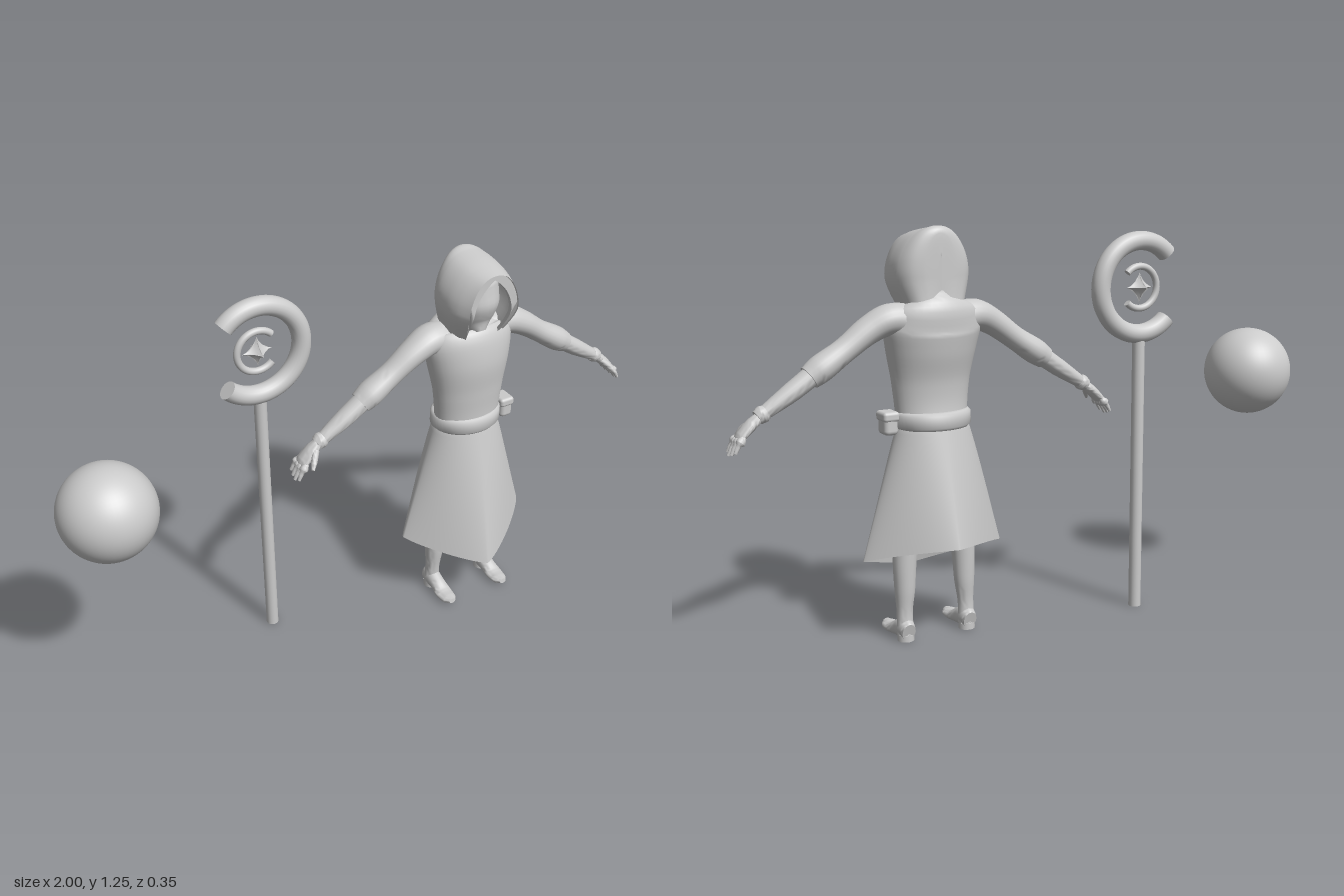
import * as THREE from 'three';
import { toCreasedNormals } from 'three/addons/utils/BufferGeometryUtils.js';
import { RoundedBoxGeometry } from 'three/addons/geometries/RoundedBoxGeometry.js';
import { ParametricGeometry } from 'three/addons/geometries/ParametricGeometry.js';

const solid = new THREE.MeshStandardMaterial({ color: 0xcccccc });
const thin = new THREE.MeshStandardMaterial({ color: 0xcccccc, side: THREE.DoubleSide });
const V = (x, y, z) => new THREE.Vector3(x, y, z);
const { lerp } = THREE.MathUtils;

function part(name, geometry, parent, x = 0, y = 0, z = 0, material = solid) {
  const mesh = new THREE.Mesh(geometry, material);
  mesh.name = name;
  mesh.position.set(x, y, z);
  parent.add(mesh);
  return mesh;
}

// Smooth elliptical loft through rows of [x, y, z, sideRadius, upRadius], with capped ends
function loft(rows, up, side = 1, sides = 20, perSpan = 5) {
  const path = new THREE.CatmullRomCurve3(rows.map(r => V(r[0] * side, r[1], r[2])));
  const radii = new THREE.CatmullRomCurve3(rows.map(r => V(r[3], r[4], 0)));
  const n = (rows.length - 1) * perSpan, pos = [], idx = [];
  for (let i = 0; i <= n; i++) {
    const c = path.getPoint(i / n), t = path.getTangent(i / n), r = radii.getPoint(i / n);
    const u = up.clone().addScaledVector(t, -up.dot(t)).normalize();
    const s = u.clone().cross(t);
    for (let j = 0; j < sides; j++) {
      const a = j / sides * Math.PI * 2;
      const p = c.clone().addScaledVector(s, Math.cos(a) * r.x).addScaledVector(u, Math.sin(a) * r.y);
      pos.push(p.x, p.y, p.z);
    }
  }
  for (let i = 0; i < n; i++) for (let j = 0; j < sides; j++) {
    const k = (j + 1) % sides, a = i * sides, b = a + sides;
    idx.push(a + j, a + k, b + j, a + k, b + k, b + j);
  }
  const first = pos.length / 3, last = n * sides;
  pos.push(...path.getPoint(0).toArray(), ...path.getPoint(1).toArray());
  for (let j = 0; j < sides; j++) {
    const k = (j + 1) % sides;
    idx.push(first, k, j, first + 1, last + j, last + k);
  }
  const g = new THREE.BufferGeometry();
  g.setAttribute('position', new THREE.Float32BufferAttribute(pos, 3));
  g.setIndex(idx);
  return toCreasedNormals(g, 0.9);
}

const X = V(1, 0, 0), Y = V(0, 1, 0), Z = V(0, 0, 1);

// Open ring in the XY plane, its gap centred on gapAngle
function crescent(name, R, r, gapAngle, parent) {
  const g = new THREE.Group(), start = gapAngle + Math.PI / 4, arc = Math.PI * 1.5;
  g.name = name;
  g.rotation.z = start;
  part(name + 'Ring', new THREE.TorusGeometry(R, r, 20, 56, arc), g);
  for (const a of [0, arc])
    part(name + 'End', new THREE.CircleGeometry(r, 20), g, R * Math.cos(a), R * Math.sin(a), 0, thin)
      .rotation.set(Math.PI / 2, a, 0, 'ZXY');
  g.children.slice(1).forEach((m, i) => m.rotation.set(Math.PI / 2, 0, i ? arc : 0, 'ZXY'));
  parent.add(g);
}

function buildStaff() {
  const staff = new THREE.Group();
  staff.name = 'staff';
  staff.position.set(-0.313, 0, -0.117);
  part('staffPole', new THREE.CylinderGeometry(0.02, 0.02, 0.885, 20), staff, 0, 0.4425);
  const head = new THREE.Group();
  head.name = 'staffHead';
  head.position.y = 1.048;
  staff.add(head);
  crescent('outerCrescent', 0.146, 0.03, Math.PI, head);
  crescent('innerCrescent', 0.066, 0.011, 0, head);
  // six-spiked star: octahedral sphere with its flanks drawn inward
  const star = new THREE.OctahedronGeometry(1, 5), p = star.attributes.position;
  for (let i = 0; i < p.count; i++)
    p.setXYZ(i, p.getX(i) ** 3 * 0.05, p.getY(i) ** 3 * 0.05, p.getZ(i) ** 3 * 0.046);
  part('star', toCreasedNormals(star, 0.6), head);
  return staff;
}

// Half outline of the hood arch: [width fraction, height fraction]
const ARCH = [[0.78, 0], [1, 0.35], [0.98, 0.55], [0.82, 0.75], [0.5, 0.93], [0, 1]];
const archCurve = new THREE.CatmullRomCurve3(
  [...ARCH.map(([x, y]) => V(-x, y, 0)), ...ARCH.slice(0, -1).reverse().map(([x, y]) => V(x, y, 0))]);
const setBack = y => 0.05 * Math.max(0, (1.1 - y) / 0.1) ** 1.3;

function buildHead(body) {
  const head = new THREE.Group();
  head.name = 'head';
  body.add(head);
  part('face', loft([[0, 1.005, 0.045, 0.022, 0.025], [0, 1.04, 0.025, 0.055, 0.055],
    [0, 1.1, 0.01, 0.078, 0.08], [0, 1.17, 0, 0.076, 0.078], [0, 1.21, 0, 0.04, 0.04]], Z), head);
  part('neck', new THREE.CylinderGeometry(0.045, 0.055, 0.12, 20), head, 0, 1.04, -0.015);
  // hood: arch stations from the brim to the closed back, [width, top, bottom] against z
  const st = [[0.12, 0.088, 1.224, 1.01], [0.07, 0.108, 1.234, 1.005], [0.03, 0.115, 1.241, 1.01],
    [-0.03, 0.113, 1.248, 1.02], [-0.062, 0.094, 1.253, 1.03], [-0.078, 0.06, 1.243, 1.035], [-0.083, 0, 1.16, 1.07]];
  const zw = new THREE.CatmullRomCurve3(st.map(s => V(s[0], s[1], 0)));
  const tb = new THREE.CatmullRomCurve3(st.map(s => V(s[2], s[3], 0)));
  part('hood', new ParametricGeometry((u, v, out) => {
    const a = archCurve.getPoint(u), s = zw.getPoint(v), h = tb.getPoint(v);
    const y = lerp(h.y, h.x, a.y);
    out.set(a.x * s.y, y, s.x - setBack(y) * (1 - v));
  }, 40, 30), head, 0, 0, 0, thin);
  // parted hair framing the face, ending in two pointed locks
  const hair = new THREE.Shape();
  archCurve.getPoints(40).forEach((a, i) =>
    hair[i ? 'lineTo' : 'moveTo'](a.x * 0.088, lerp(1.01, 1.222, a.y)));
  hair.lineTo(0.06, 0.998);
  hair.bezierCurveTo(0.075, 1.06, 0.085, 1.15, 0, 1.207);
  hair.bezierCurveTo(-0.085, 1.15, -0.075, 1.06, -0.06, 0.998);
  hair.closePath();
  const g = new THREE.ExtrudeGeometry(hair, { depth: 0.014, bevelEnabled: false, curveSegments: 16 });
  const p = g.attributes.position;
  for (let i = 0; i < p.count; i++) p.setZ(i, p.getZ(i) + 0.1 - setBack(p.getY(i)));
  part('hair', toCreasedNormals(g, 0.7), head, 0, 0, 0, thin);
}

function buildArm(s, body) {
  const arm = new THREE.Group(), z = -0.015;
  arm.name = s > 0 ? 'leftArm' : 'rightArm';
  body.add(arm);
  part('sleeve', loft([[0.08, 0.98, -0.025, 0.055, 0.05], [0.14, 0.985, -0.02, 0.055, 0.047], [0.2, 0.96, z, 0.048, 0.041],
    [0.28, 0.905, z, 0.041, 0.036], [0.35, 0.86, z, 0.046, 0.04], [0.388, 0.835, z, 0.039, 0.035]], Y, s), arm);
  part('forearm', loft([[0.37, 0.847, z, 0.034, 0.03], [0.44, 0.8, z, 0.032, 0.028],
    [0.54, 0.737, z, 0.021, 0.018]], Y, s), arm);
  part('cuff', loft([[0.518, 0.751, z, 0.023, 0.021], [0.528, 0.745, z, 0.027, 0.025],
    [0.543, 0.736, z, 0.024, 0.021]], Y, s), arm);
  part('palm', loft([[0.535, 0.74, z, 0.017, 0.014], [0.565, 0.716, z, 0.028, 0.016],
    [0.595, 0.687, z, 0.031, 0.013], [0.602, 0.68, z, 0.025, 0.009]], Y, s), arm);
  for (let i = 0; i < 4; i++) {
    const f = i - 1.5, len = 1 - 0.12 * Math.abs(f - 0.3);
    part('finger', loft([[0.59, 0.69, z + f * 0.015, 0.008, 0.008], [0.59 + 0.022 * len, 0.69 - 0.026 * len, z + f * 0.018, 0.008, 0.008],
      [0.59 + 0.038 * len, 0.69 - 0.055 * len, z + f * 0.02, 0.005, 0.005]], Y, s, 10, 4), arm);
  }
  part('thumb', loft([[0.555, 0.722, 0.002, 0.011, 0.011], [0.574, 0.702, 0.026, 0.01, 0.01],
    [0.587, 0.683, 0.042, 0.005, 0.005]], Y, s, 10, 4), arm);
}

function buildLeg(s, body) {
  const leg = new THREE.Group();
  leg.name = s > 0 ? 'leftLeg' : 'rightLeg';
  body.add(leg);
  part('shin', loft([[0.105, 0.02, -0.012, 0.027, 0.024], [0.105, 0.08, -0.008, 0.025, 0.023], [0.102, 0.16, -0.006, 0.032, 0.031],
    [0.1, 0.25, -0.005, 0.037, 0.035], [0.085, 0.42, 0, 0.046, 0.045], [0.06, 0.62, 0, 0.05, 0.055]], Z, s), leg);
  part('foot', loft([[0.105, 0.03, -0.037, 0.022, 0.028], [0.105, 0.036, -0.015, 0.027, 0.035], [0.105, 0.028, 0.03, 0.026, 0.026],
    [0.106, 0.017, 0.07, 0.03, 0.016], [0.106, 0.016, 0.105, 0.026, 0.014], [0.106, 0.02, 0.126, 0.012, 0.008]], Y, s), leg);
  part('heel', new THREE.CylinderGeometry(0.026, 0.026, 0.02, 16), leg, 0.105 * s, 0.01, -0.013);
}

function buildFigure() {
  const body = new THREE.Group();
  body.name = 'robedFigure';
  body.position.x = 0.365;
  part('torso', loft([[0, 0.64, -0.005, 0.112, 0.082], [0, 0.72, 0, 0.116, 0.076], [0, 0.8, 0.001, 0.125, 0.08],
    [0, 0.89, -0.005, 0.143, 0.094], [0, 0.96, -0.016, 0.155, 0.095], [0, 1.01, -0.03, 0.135, 0.078],
    [0, 1.035, -0.025, 0.075, 0.058], [0, 1.045, -0.02, 0.045, 0.045]], Z, 1, 36), body);
  // skirt: an oval waist drawn out to a four-cornered hem that dips at the front
  const bow = (c, p) => Math.sign(c) * Math.abs(c) ** p;
  part('skirt', new ParametricGeometry((u, v, out) => {
    const a = -u * Math.PI * 2, p = 1 + 0.65 * v;
    const z = bow(Math.sin(a), p) * lerp(0.085, 0.174, v) - 0.008 * (1 - v);
    const hem = 0.265 - 0.38 * z - 0.68 * z * z;
    out.set(bow(Math.cos(a), p) * lerp(0.11, 0.234, v ** 0.93), lerp(0.67, hem, v), z);
  }, 64, 16), body, 0, 0, 0, thin);
  // belt with side pouch
  const belt = [[0.085, -0.026], [0.112, -0.026], [0.12, -0.018], [0.12, 0.018], [0.112, 0.026], [0.085, 0.026]];
  part('belt', toCreasedNormals(new THREE.LatheGeometry(belt.map(([x, y]) => new THREE.Vector2(x, y)), 48), 0.9),
    body, 0, 0.682, -0.007).scale.z = 0.81;
  part('pouch', new RoundedBoxGeometry(0.045, 0.07, 0.06, 3, 0.014), body, 0.14, 0.677, 0.005);
  part('pouchFlap', new RoundedBoxGeometry(0.052, 0.03, 0.066, 3, 0.01), body, 0.14, 0.698, 0.005);
  buildHead(body);
  for (const s of [1, -1]) {
    buildArm(s, body);
    buildLeg(s, body);
  }
  return body;
}

export function createModel() {
  const model = new THREE.Group();
  model.name = 'mageSet';
  part('orb', new THREE.SphereGeometry(0.148, 48, 32), model, -0.853, 0.727, -0.017);
  model.add(buildStaff(), buildFigure());
  return model;
}
